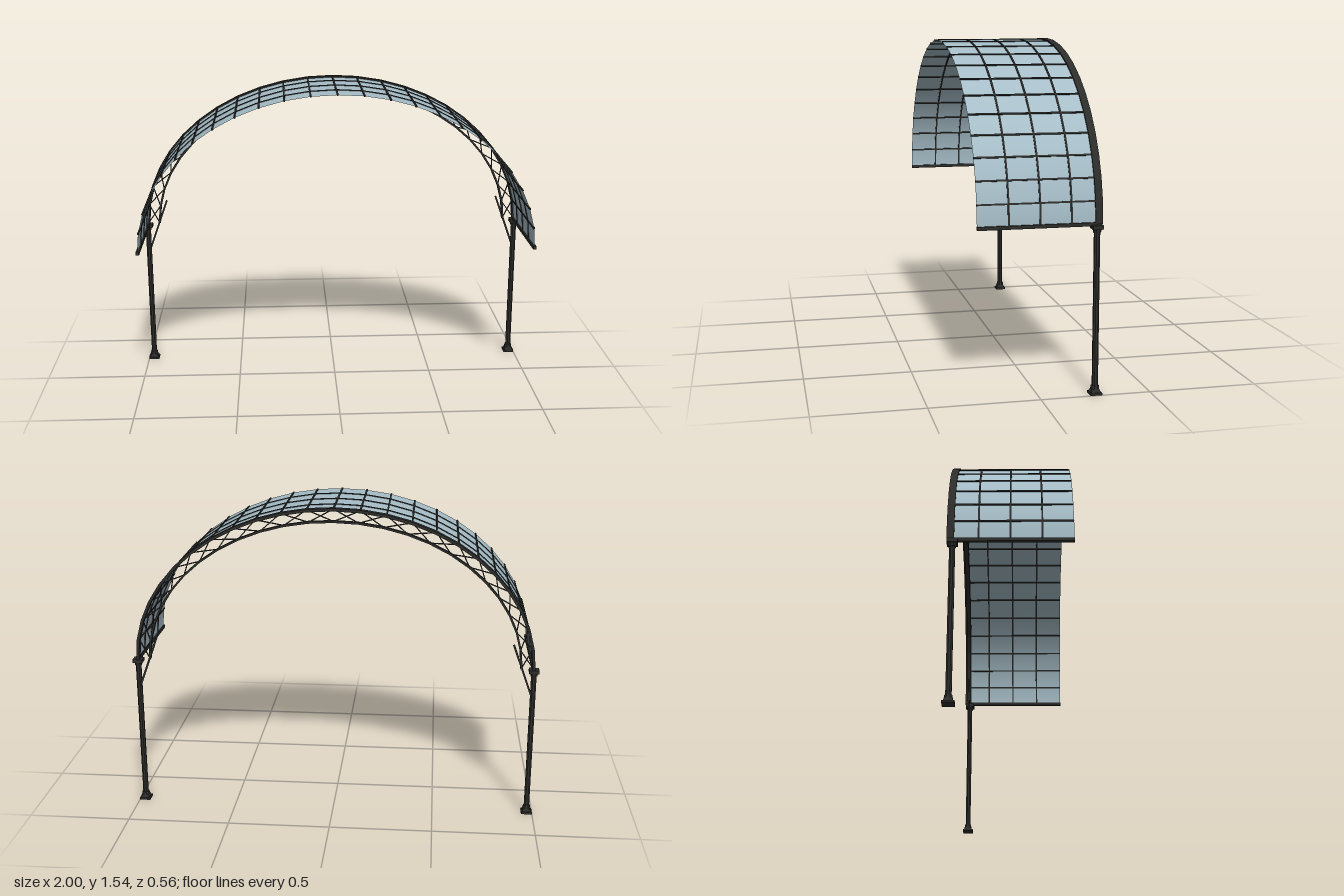
import * as THREE from 'three';

const BASE = 0.765, RX = 0.97, RY = 0.765, STEPS = 24;
const DEPTH_FRONT = 0.278, FRAME_Z = -0.252;

// point on an ellipse shrunk inward by d; i counts from the right end to the left end
function arcPoint(i, d = 0) {
  const a = Math.PI * i / STEPS;
  return new THREE.Vector2((RX - d) * Math.cos(a), BASE + (RY - d) * Math.sin(a));
}

// faceted arched strip between two insets, running from z0 to z1
function archBand(outer, inner, z0, z1) {
  const pts = [];
  for (let i = 0; i <= STEPS; i++) pts.push(arcPoint(i, outer));
  for (let i = STEPS; i >= 0; i--) pts.push(arcPoint(i, inner));
  const geo = new THREE.ExtrudeGeometry(new THREE.Shape(pts), { depth: z1 - z0, bevelEnabled: false });
  return geo.translate(0, 0, z0);
}

export function createModel() {
  const model = new THREE.Group();
  const iron = new THREE.MeshStandardMaterial({ color: 0x2c2d2b });
  iron.name = 'dark iron';
  const ironFlat = iron;
  const glass = new THREE.MeshStandardMaterial({ color: 0xa6bdc7, side: THREE.DoubleSide });
  glass.name = 'pale blue glass';

  const add = (name, geo, mat = iron, parent = model) => {
    const mesh = new THREE.Mesh(geo, mat);
    mesh.name = name;
    parent.add(mesh);
    return mesh;
  };

  // straight bar between two points in the plane z
  const bar = (name, a, b, z, width, depth, parent) => {
    const mesh = add(name, new THREE.BoxGeometry(a.distanceTo(b), width, depth), iron, parent);
    mesh.position.set((a.x + b.x) / 2, (a.y + b.y) / 2, z);
    mesh.rotation.z = Math.atan2(b.y - a.y, b.x - a.x);
  };

  // curved glass canopy
  const length = DEPTH_FRONT - FRAME_Z;
  const canopy = new THREE.CylinderGeometry(1, 1, length, STEPS, 1, true, -Math.PI / 2, Math.PI);
  canopy.rotateX(-Math.PI / 2).scale(RX, RY, 1).translate(0, BASE, (DEPTH_FRONT + FRAME_Z) / 2);
  add('glassCanopy', canopy, glass);

  // glazing bars: arched ribs and bars along the depth
  const glazing = new THREE.Group();
  glazing.name = 'glazingBars';
  model.add(glazing);
  for (const z of [-0.139, 0, 0.139]) add('archedRib', archBand(-0.004, 0.004, z - 0.004, z + 0.004), iron, glazing);
  for (let i = 0; i <= STEPS; i++) {
    const end = i === 0 || i === STEPS;
    const p = arcPoint(i);
    const t = Math.PI * i / STEPS;
    const size = end ? 0.016 : 0.008;
    const purlin = add(end ? 'eavesRail' : 'purlin', new THREE.BoxGeometry(size, size, length), iron, glazing);
    purlin.position.set(p.x, p.y, (DEPTH_FRONT + FRAME_Z) / 2);
    purlin.rotation.z = Math.atan2(Math.sin(t) / RY, Math.cos(t) / RX);
  }

  // arched lattice truss at the back
  const truss = new THREE.Group();
  truss.name = 'archTruss';
  model.add(truss);
  add('outerChord', archBand(-0.007, 0.007, -0.278, -0.245), iron, truss);
  add('innerChord', archBand(0.054, 0.064, -0.267, -0.245), iron, truss);
  for (let i = 0; i < STEPS; i++) {
    bar('latticeBar', arcPoint(i), arcPoint(i + 1, 0.059), -0.253, 0.005, 0.005, truss);
    bar('latticeBar', arcPoint(i, 0.059), arcPoint(i + 1), -0.259, 0.005, 0.005, truss);
  }

  // posts with stepped feet and capitals, plus slanted braces
  for (const side of [-1, 1]) {
    const post = new THREE.Group();
    post.name = side > 0 ? 'leftPost' : 'rightPost';
    post.position.set(side * 0.973, 0, FRAME_Z);
    model.add(post);
    const block = (name, width, y0, y1) =>
      add(name, new THREE.BoxGeometry(width, y1 - y0, width).translate(0, (y0 + y1) / 2, 0), iron, post);
    const drum = (name, top, bottom, y0, y1, sides = 8) => {
      const geo = new THREE.CylinderGeometry(top, bottom, y1 - y0, sides);
      geo.rotateY(Math.PI / sides).translate(0, (y0 + y1) / 2, 0);
      add(name, geo.toNonIndexed(), ironFlat, post).geometry.computeVertexNormals();
    };
    block('footPlate', 0.054, 0, 0.01);
    drum('footTaper', 0.023, 0.031, 0.01, 0.026, 4);
    drum('footRing', 0.018, 0.02, 0.026, 0.04);
    drum('shaft', 0.014, 0.014, 0.03, 0.74);
    drum('capitalNeck', 0.02, 0.017, 0.728, 0.744);
    block('capitalPlate', 0.048, 0.744, 0.762);

    const foot = new THREE.Vector2(side * 0.967, 0.62);
    const tip = new THREE.Vector2(side * 0.87, 0.885);
    bar('slantedBrace', foot, tip, -0.258, 0.009, 0.009, model);
  }
  return model;
}
